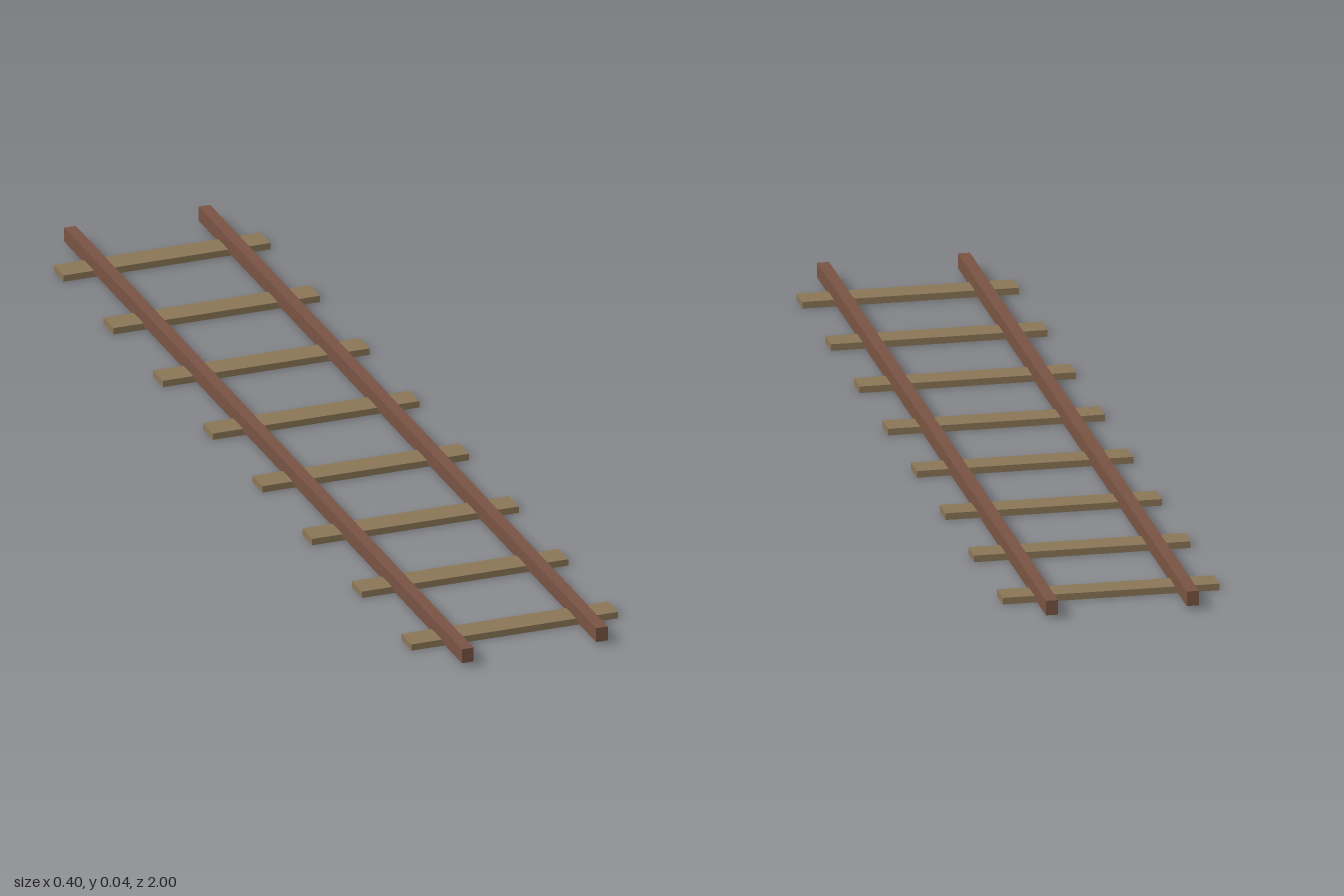
import * as THREE from 'three';

export function createModel() {
  const group = new THREE.Group();
  group.name = 'railwayTrack';

  const wood = new THREE.MeshStandardMaterial({ color: 0x8b7758 });
  wood.name = 'weathered wood';
  const rust = new THREE.MeshStandardMaterial({ color: 0x795443 });
  rust.name = 'rusty steel';

  const addBox = (name, material, size, position) => {
    const mesh = new THREE.Mesh(new THREE.BoxGeometry(...size), material);
    mesh.name = name;
    mesh.position.set(...position);
    group.add(mesh);
  };

  // Eight evenly spaced sleepers lying on the ground
  const sleeperCount = 8;
  const spacing = 2 / sleeperCount;
  for (let i = 0; i < sleeperCount; i++) {
    const z = -1 + spacing * (i + 0.5);
    addBox(`sleeper${i + 1}`, wood, [0.4, 0.0125, 0.05], [0, 0.00625, z]);
  }

  // Two rails, sunk slightly into the sleepers
  for (const side of [1, -1]) {
    const name = side > 0 ? 'leftRail' : 'rightRail';
    addBox(name, rust, [0.0225, 0.0275, 2], [side * 0.13, 0.02125, 0]);
  }

  return group;
}
